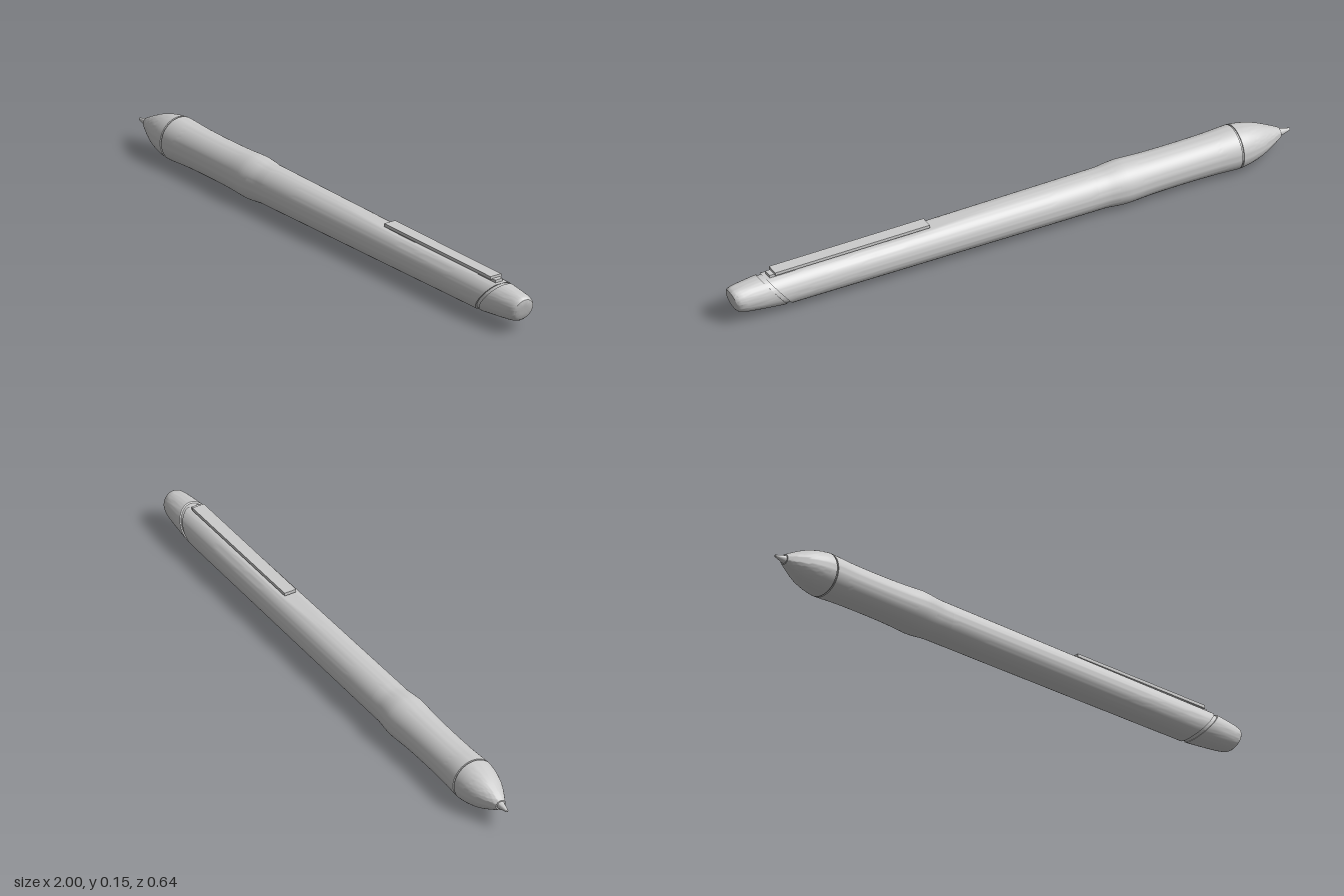
import * as THREE from 'three';
import { toCreasedNormals } from 'three/addons/utils/BufferGeometryUtils.js';

const grey = new THREE.MeshStandardMaterial({ color: 0xcccccc, side: THREE.DoubleSide });
const clamp01 = (t) => Math.min(1, Math.max(0, t));
const SLANT = 0.8; // lean of the joint between barrel and end cap

// Lathe along +x from [u, radius] pairs; rule(v) may reshape each vertex.
function turned(name, profile, rule) {
  const geo = new THREE.LatheGeometry(profile.map(([u, r]) => new THREE.Vector2(r, u)), 64);
  geo.rotateZ(-Math.PI / 2);
  if (rule) {
    const pos = geo.attributes.position;
    const v = new THREE.Vector3();
    for (let i = 0; i < pos.count; i++) {
      rule(v.fromBufferAttribute(pos, i));
      pos.setXYZ(i, v.x, v.y, v.z);
    }
  }
  const mesh = new THREE.Mesh(toCreasedNormals(geo, 0.5), grey);
  mesh.name = name;
  return mesh;
}

// Box placed by its extents along the pen
function bar(name, x0, x1, y0, y1, width) {
  const mesh = new THREE.Mesh(new THREE.BoxGeometry(x1 - x0, y1 - y0, width), grey);
  mesh.position.set((x0 + x1) / 2, (y0 + y1) / 2, 0);
  mesh.name = name;
  return mesh;
}

// Smooth a handful of profile points
function smooth(points, n) {
  const curve = new THREE.CatmullRomCurve3(points.map(([u, r]) => new THREE.Vector3(u, r, 0)), false, 'centripetal');
  return curve.getPoints(n).map((p) => [p.x, p.y]);
}

export function createModel() {
  const pen = new THREE.Group();
  pen.name = 'pen';

  // Writing point and rounded nose
  pen.add(turned('writingPoint', [[-1.042, 0], [-1.04, 0.004], [-0.995, 0.015], [-0.98, 0.015]]));
  pen.add(turned('noseCone', [
    [-1.0, 0.012],
    ...smooth([[-1.0, 0.018], [-0.965, 0.036], [-0.915, 0.058], [-0.865, 0.071], [-0.832, 0.0755]], 20),
    [-0.832, 0.068],
  ]));
  pen.add(turned('noseGroove', [[-0.836, 0.071], [-0.822, 0.071]]));

  // Waisted grip with a swelling at its rear
  pen.add(turned('grip', [
    [-0.826, 0.068],
    ...smooth([[-0.826, 0.0755], [-0.8, 0.0745], [-0.74, 0.0715], [-0.62, 0.07], [-0.5, 0.0715],
      [-0.44, 0.0745], [-0.41, 0.0755], [-0.38, 0.0735], [-0.34, 0.0695], [-0.3, 0.069]], 50),
  ]));

  // Tapered barrel: shallow flat under the clip, slanted rear edge
  const barrel = [];
  for (let i = 0; i <= 40; i++) {
    const t = i / 40;
    barrel.push([-0.3 + 1.163 * t, 0.069 - 0.007 * t]);
  }
  barrel.push([0.863, 0.054]);
  pen.add(turned('barrel', barrel, (v) => {
    v.y = Math.min(v.y, 0.069 - 0.011 * clamp01((v.x + 0.05) / 0.4));
    v.x += SLANT * v.y * clamp01((v.x - 0.45) / 0.4);
  }));

  // Recessed ring in the slanted joint
  const slant = (v) => { v.x += SLANT * v.y; };
  pen.add(turned('jointRing', [[0.85, 0.057], [0.895, 0.057]], slant));

  // End cap: slanted front edge, narrowing to a slightly tilted rounded end
  pen.add(turned('endCap', [
    [0.88, 0.053], [0.88, 0.061], [0.91, 0.0585], [0.95, 0.0545], [0.99, 0.05], [1.01, 0.0465],
    [1.02, 0.043], [1.026, 0.038], [1.029, 0.031], [1.03, 0.016], [1.03, 0],
  ], (v) => {
    const t = clamp01((v.x - 0.88) / 0.14);
    v.x += v.y * (SLANT + (0.3 - SLANT) * t);
    v.y += 0.003 * t;
  }));

  // Clip with a foot at the rear and a small pad near its free end
  const clip = new THREE.Group();
  clip.name = 'clip';
  clip.add(bar('clipBlade', 0.305, 0.878, 0.0655, 0.0765, 0.044));
  clip.add(bar('clipFoot', 0.8, 0.895, 0.045, 0.068, 0.03));
  clip.add(bar('clipPad', 0.32, 0.46, 0.058, 0.067, 0.026));
  pen.add(clip);

  // Lay the pen diagonally on the ground
  pen.rotation.y = -0.283;
  pen.position.set(0, 0.0765, -0.013);
  const model = new THREE.Group();
  model.add(pen);
  return model;
}
